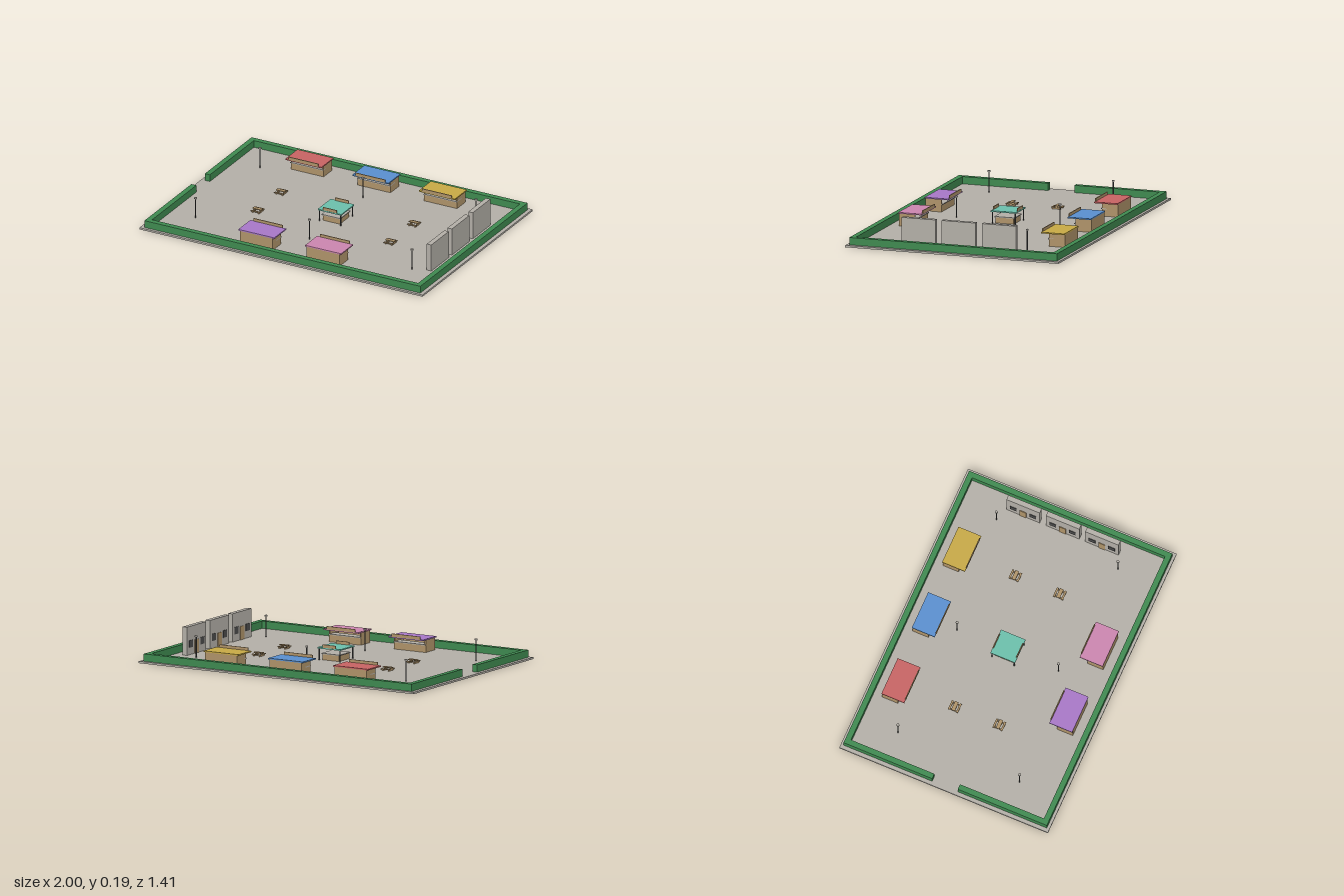
import * as THREE from 'three';

const mat = (name, color) => {
  const m = new THREE.MeshStandardMaterial({ color });
  m.name = name;
  return m;
};

export function createModel() {
  const stone = mat('stone', 0xb4b0a8), green = mat('hedge green', 0x3f8a50);
  const wood = mat('wood', 0xb0946a), metal = mat('dark metal', 0x4c4c4c);
  const red = mat('red canvas', 0xc86464), blue = mat('blue canvas', 0x5a90d0);
  const yellow = mat('yellow canvas', 0xc8aa46), purple = mat('purple canvas', 0xa878c8);
  const pink = mat('pink canvas', 0xcc86b0), teal = mat('teal canvas', 0x6cc0ac);

  const model = new THREE.Group();
  model.name = 'marketSquare';

  // Box given by its extents on each axis
  const box = (parent, name, material, [x0, x1], [y0, y1], [z0, z1]) => {
    const mesh = new THREE.Mesh(new THREE.BoxGeometry(x1 - x0, y1 - y0, z1 - z0), material);
    mesh.position.set((x0 + x1) / 2, (y0 + y1) / 2, (z0 + z1) / 2);
    mesh.name = name;
    parent.add(mesh);
    return mesh;
  };
  const group = (name, x, z, turn = 0) => {
    const g = new THREE.Group();
    g.name = name;
    g.position.set(x, 0.012, z);
    g.rotation.y = turn;
    model.add(g);
    return g;
  };
  const post = (parent, name, material, r, x, z, y0, y1) => {
    const mesh = new THREE.Mesh(new THREE.CylinderGeometry(r, r, y1 - y0, 12), material);
    mesh.position.set(x, (y0 + y1) / 2, z);
    mesh.name = name;
    parent.add(mesh);
  };

  // Paved ground
  box(model, 'paving', stone, [-1, 1], [0, 0.012], [-0.703, 0.703]);

  // Hedge around the edge, with an entrance on the -x side
  const hedgeY = [0.012, 0.058];
  box(model, 'backHedge', green, [-0.975, 0.975], hedgeY, [-0.685, -0.65]);
  box(model, 'frontHedge', green, [-0.975, 0.975], hedgeY, [0.65, 0.685]);
  box(model, 'leftHedge', green, [0.94, 0.975], hedgeY, [-0.65, 0.65]);
  box(model, 'entranceHedgeBack', green, [-0.975, -0.94], hedgeY, [-0.65, -0.088]);
  box(model, 'entranceHedgeFront', green, [-0.975, -0.94], hedgeY, [0.085, 0.65]);

  // Market stalls; each is built facing +z and turned towards the middle
  const stall = (x, z, turn, canvas) => {
    const g = group('stall', x, z, turn);
    box(g, 'backWall', wood, [-0.116, 0.116], [0, 0.08], [-0.077, -0.069]);
    for (const s of [-1, 1]) {
      box(g, 'sideWall', wood, [s * 0.112 - 0.004, s * 0.112 + 0.004], [0, 0.08], [-0.069, 0.029]);
    }
    box(g, 'counter', wood, [-0.108, 0.108], [0, 0.044], [0.004, 0.029]);
    box(g, 'counterTop', stone, [-0.116, 0.116], [0.044, 0.05], [-0.03, 0.036]);
    box(g, 'canopy', canvas, [-0.127, 0.127], [0.08, 0.088], [-0.077, 0.077]);
    box(g, 'signBoard', wood, [-0.104, 0.104], [0.086, 0.106], [0.073, 0.079]);
  };
  stall(-0.473, -0.516, 0, red);
  stall(0, -0.516, 0, blue);
  stall(0.47, -0.516, 0, yellow);
  stall(-0.237, 0.513, Math.PI, purple);
  stall(0.235, 0.513, Math.PI, pink);

  // Central kiosk: four posts, ring counter, flat canopy
  const kiosk = group('kiosk', 0, 0);
  box(kiosk, 'kioskCounter', wood, [-0.06, 0.06], [0, 0.036], [-0.06, 0.06]);
  box(kiosk, 'kioskCounterTop', stone, [-0.066, 0.066], [0.036, 0.042], [-0.066, 0.066]);
  for (const sx of [-1, 1]) {
    for (const sz of [-1, 1]) post(kiosk, 'kioskPost', metal, 0.004, sx * 0.075, sz * 0.075, 0, 0.074);
  }
  box(kiosk, 'kioskCanopy', teal, [-0.083, 0.083], [0.073, 0.081], [-0.083, 0.083]);
  for (const s of [-1, 1]) {
    box(kiosk, 'kioskSign', wood, [-0.048, 0.048], [0.081, 0.1], [s * 0.079 - 0.003, s * 0.079 + 0.003]);
  }

  // Shop fronts facing the entrance
  for (const z of [-0.267, 0, 0.264]) {
    const g = group('shopFront', 0.865, z);
    box(g, 'facade', stone, [-0.016, 0.016], [0, 0.178], [-0.112, 0.112]);
    box(g, 'door', wood, [-0.02, -0.015], [0, 0.085], [-0.022, 0.022]);
    for (const s of [-1, 1]) {
      box(g, 'window', metal, [-0.019, -0.015], [0.045, 0.09], [s * 0.066 - 0.022, s * 0.066 + 0.022]);
    }
  }

  // Lamp posts
  const lamps = [[0, -0.343], [0, 0.34]];
  for (const x of [-0.765, 0.763]) lamps.push([x, -0.41], [x, 0.41]);
  for (const [x, z] of lamps) {
    const g = group('lampPost', x, z);
    post(g, 'lampPole', metal, 0.0035, 0, 0, 0, 0.13);
    post(g, 'lampHead', stone, 0.009, 0, 0, 0.13, 0.139);
  }

  // Picnic tables with a bench on both sides
  for (const x of [-0.472, 0.467]) {
    for (const z of [-0.153, 0.147]) {
      const g = group('picnicTable', x, z);
      box(g, 'tableTop', wood, [-0.031, 0.031], [0.018, 0.023], [-0.012, 0.012]);
      for (const s of [-1, 1]) {
        box(g, 'bench', wood, [-0.031, 0.031], [0.009, 0.014], [s * 0.027 - 0.006, s * 0.027 + 0.006]);
        box(g, 'tableLeg', wood, [s * 0.022 - 0.003, s * 0.022 + 0.003], [0, 0.018], [-0.006, 0.006]);
        box(g, 'benchRail', wood, [s * 0.022 - 0.003, s * 0.022 + 0.003], [0, 0.009], [-0.028, 0.028]);
      }
    }
  }
  return model;
}
